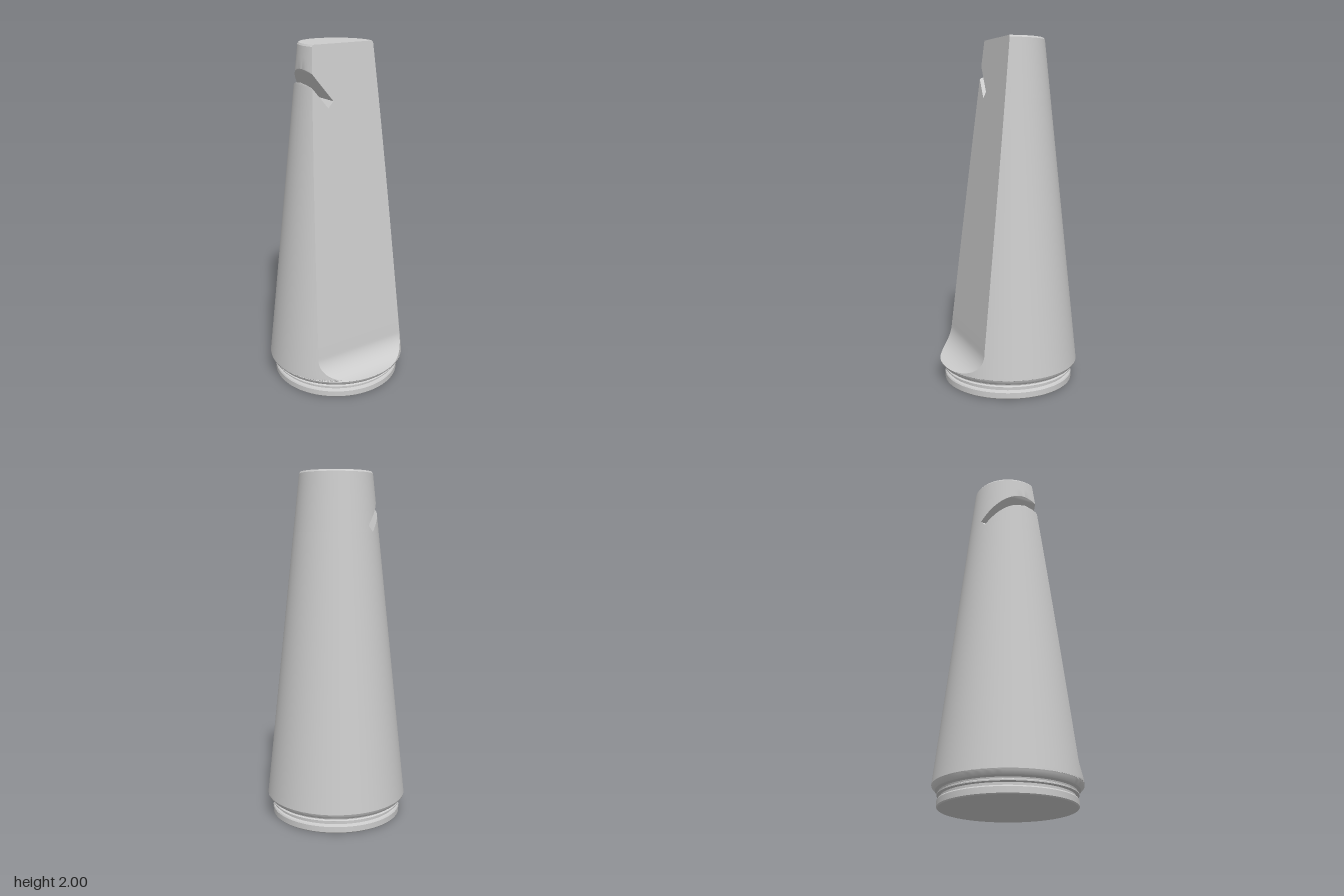
import * as THREE from 'three';
import { toCreasedNormals } from 'three/addons/utils/BufferGeometryUtils.js';

const BASE_Y = 0.12, SCOOP_Y = 0.262, TOP_Y = 2;
const lerp = THREE.MathUtils.lerp;

// Radius of the tapered shaft, with a small chamfer at the very top
function radiusAt(y) {
  const r = lerp(0.41, 0.21, (y - BASE_Y) / (1.99 - BASE_Y));
  return y > 1.99 ? lerp(0.21, 0.203, (y - 1.99) / 0.01) : r;
}

// Depth of the front cut: straight slope, flaring out as a scoop at the foot
function frontAt(y) {
  if (y >= SCOOP_Y) return lerp(0.262, 0.07, (y - SCOOP_Y) / (TOP_Y - SCOOP_Y));
  const s = Math.min(1, (SCOOP_Y - y) / (SCOOP_Y - BASE_Y));
  return 0.412 - 0.15 * Math.sqrt(1 - s * s);
}

// Closed D-shaped cross-section at height y, limited to xMin..xMax
function section(y, xMin = -1, xMax = 1) {
  const r = radiusAt(y), zf = frontAt(y), q = Math.PI / 2;
  const corner = Math.acos(Math.min(1, zf / r));
  const points = [];
  const arc = (from, to, n, front) => {
    for (let i = 0; i < n; i++) {
      const x = THREE.MathUtils.clamp(r * Math.sin(lerp(from, to, i / n)), xMin, xMax);
      const z = Math.sqrt(Math.max(0, r * r - x * x));
      points.push(new THREE.Vector3(x, y, front ? Math.min(zf, z) : -z));
    }
  };
  arc(q, corner, 14, true);
  arc(corner, -corner, 20, true);
  arc(-corner, -q, 14, true);
  arc(-q, -3 * q, 48, false);
  return points;
}

// Skin a stack of cross-sections, optionally closing the top
function loft(rings, cap = false) {
  const pos = [];
  const tri = (a, b, c) => {
    const area = b.clone().sub(a).cross(c.clone().sub(a)).length();
    if (area > 1e-9) for (const p of [a, b, c]) pos.push(p.x, p.y, p.z);
  };
  for (let i = 0; i < rings.length - 1; i++) {
    const lo = rings[i], hi = rings[i + 1];
    for (let j = 0; j < lo.length; j++) {
      const k = (j + 1) % lo.length;
      tri(lo[j], hi[j], hi[k]);
      tri(lo[j], hi[k], lo[k]);
    }
  }
  if (cap) {
    const top = rings[rings.length - 1];
    const centre = new THREE.Vector3(0, top[0].y, -0.05);
    top.forEach((p, j) => tri(centre, top[(j + 1) % top.length], p));
  }
  const g = new THREE.BufferGeometry();
  g.setAttribute('position', new THREE.Float32BufferAttribute(pos, 3));
  return toCreasedNormals(g, 0.5);
}

// Evenly spaced heights from a to b
const steps = (a, b, n) => Array.from({ length: n + 1 }, (_, i) => lerp(a, b, i / n));

export function createModel() {
  const group = new THREE.Group();
  const grey = new THREE.MeshStandardMaterial({ color: 0xcccccc });
  grey.name = 'light grey';
  const add = (name, geometry) => {
    const mesh = new THREE.Mesh(geometry, grey);
    mesh.name = name;
    group.add(mesh);
  };

  // Slanted slot: lower inner corner, upper inner corner, and its two mouths
  const y1 = 1.665, x1 = -0.12, y2 = 1.70, x2 = -0.085;
  const mouthLow = 1.80, mouthHigh = 1.87;

  // Shaft below the slot, with the scoop at its foot
  const scoop = steps(0, Math.PI / 2, 14)
    .map(a => SCOOP_Y - (SCOOP_Y - BASE_Y) * Math.sin(a)).reverse();
  const lower = [...scoop, ...steps(SCOOP_Y, y1, 14).slice(1)];
  add('shaft', loft(lower.map(y => section(y))));

  // Tongue left standing outside the slot
  add('slotLip', loft(steps(y1, mouthLow, 16).map(y =>
    section(y, -1, lerp(x1, -radiusAt(mouthLow), (y - y1) / (mouthLow - y1))))));

  // Head on the inner side of the slot, running up to the flat top
  const head = [
    ...steps(y1, y2, 5).map(y => section(y, lerp(x1, x2, (y - y1) / (y2 - y1)))),
    ...steps(y2, mouthHigh, 18).slice(1).map(y =>
      section(y, lerp(x2, -radiusAt(mouthHigh), (y - y2) / (mouthHigh - y2)))),
    ...[1.93, 1.99, TOP_Y].map(y => section(y)),
  ];
  add('head', loft(head, true));

  // Foot: base disc, narrow groove, ring and flared shoulder
  const profile = [
    [0, 0], [0.374, 0], [0.38, 0.006], [0.38, 0.038], [0.375, 0.045],
    [0.362, 0.048], [0.362, 0.062], [0.38, 0.066], [0.38, 0.073],
    [0.37, 0.078], [0.372, 0.086], [0.39, 0.092], [0.408, 0.112], [0.41, BASE_Y],
  ].map(p => new THREE.Vector2(...p));
  add('base', toCreasedNormals(new THREE.LatheGeometry(profile, 96), 0.5));

  return group;
}
